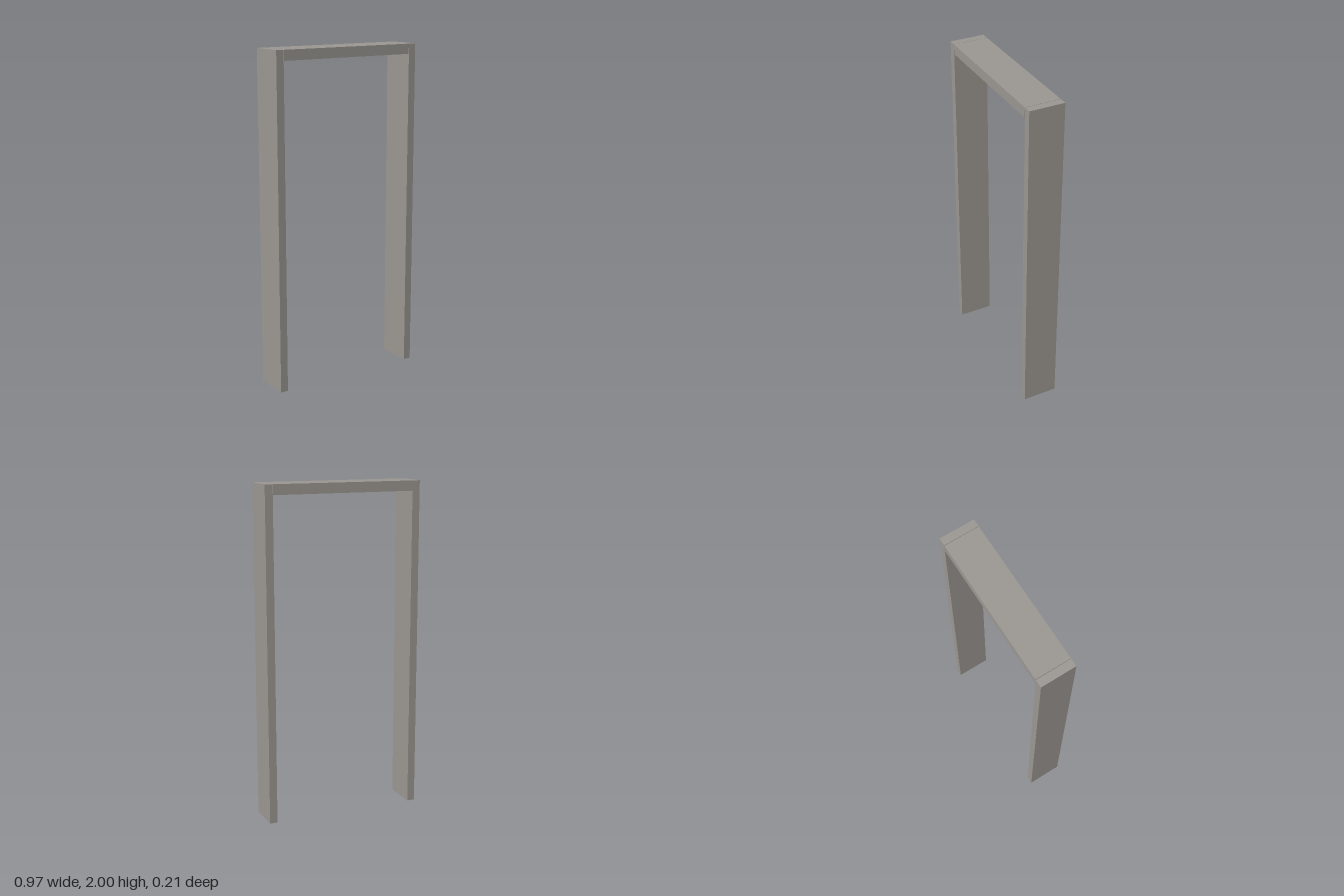
import * as THREE from 'three';

const HEIGHT = 2;
const HALF_WIDTH = 0.484;
const DEPTH = 0.21;
const JAMB = 0.047; // thickness of the uprights
const HEAD = 0.06; // thickness of the crosspiece
const SEAM = 0.002; // hairline joint between the boards

export function createModel() {
  const group = new THREE.Group();
  group.name = 'doorFrame';
  const material = new THREE.MeshStandardMaterial({ color: 0x999590 });

  function addBoard(name, width, height, x, y) {
    const mesh = new THREE.Mesh(new THREE.BoxGeometry(width, height, DEPTH), material);
    mesh.name = name;
    mesh.position.set(x, y, 0);
    group.add(mesh);
  }

  // Full-height uprights on both sides
  for (const [name, side] of [['leftJamb', 1], ['rightJamb', -1]]) {
    addBoard(name, JAMB, HEIGHT, side * (HALF_WIDTH - JAMB / 2), HEIGHT / 2);
  }

  // Crosspiece fitted between the uprights, flush with their tops
  addBoard('headJamb', 2 * (HALF_WIDTH - JAMB - SEAM), HEAD, 0, HEIGHT - HEAD / 2);

  return group;
}
